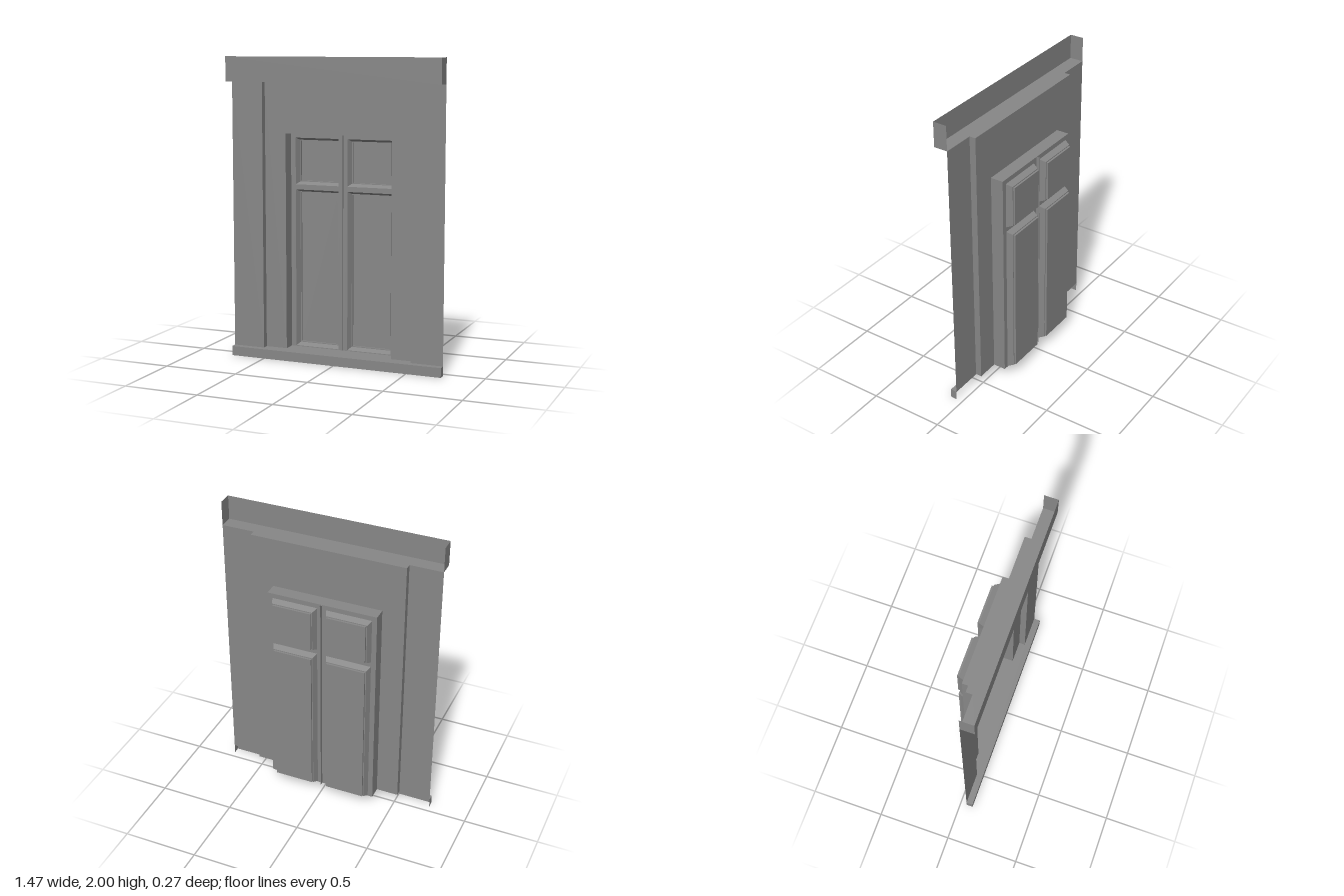
import * as THREE from 'three';

const material = new THREE.MeshStandardMaterial({ color: 0x878787, side: THREE.DoubleSide, flatShading: true });

// Key widths, heights and depths
const W = 0.735, BAY = 0.518, DOOR = 0.37, GAP = 0.002;
const SILL = 0.063, HEAD = 1.836, TOP = 2, DOOR_TOP = 1.5;
const Z_HEAD = 0.136, Z_SILL = 0.088, Z_WING = 0.044, Z_BAY = 0.002, Z_FRAME = -0.084;

function add(group, name, geometry) {
  const mesh = new THREE.Mesh(geometry, material);
  mesh.name = name;
  group.add(mesh);
}

// Joins point rows [[x, y, z], ...] of equal length with quads
function loft(rows) {
  const n = rows[0].length, index = [];
  for (let r = 0; r < rows.length - 1; r++) {
    for (let i = 0; i < n - 1; i++) {
      const a = r * n + i, b = a + n;
      index.push(a, a + 1, b, a + 1, b + 1, b);
    }
  }
  const g = new THREE.BufferGeometry();
  g.setAttribute('position', new THREE.Float32BufferAttribute(rows.flat(2), 3));
  g.setIndex(index);
  const flat = g.toNonIndexed();
  flat.computeVertexNormals();
  return flat;
}

// Upright sheet that follows a plan line of [x, z] points
const sheet = (plan, y0, y1) => loft([y0, y1].map(y => plan.map(([x, z]) => [x, y, z])));

// Horizontal sheet filling a plan outline
function floor(plan, y) {
  const shape = new THREE.Shape(plan.map(([x, z]) => new THREE.Vector2(x, z)));
  return new THREE.ShapeGeometry(shape).rotateX(Math.PI / 2).translate(0, y, 0);
}

const corners = (x0, x1, y0, y1) => [[x0, y0], [x1, y0], [x1, y1], [x0, y1]];

// Upright sheet with rectangular openings
function face(outer, holes, z) {
  const points = c => c.map(([x, y]) => new THREE.Vector2(x, y));
  const shape = new THREE.Shape(points(outer));
  holes.forEach(h => shape.holes.push(new THREE.Path(points(h))));
  return new THREE.ShapeGeometry(shape).translate(0, 0, z);
}

// Mirrors a half plan line across x = 0
const mirrored = half => [...half, ...half.slice().reverse().map(([x, z]) => [-x, z])];

// Sunken panel: sloped moulding, narrow ledge, straight step and flat pane
function createPanel([x0, x1, y0, y1]) {
  const panel = new THREE.Group();
  panel.name = 'doorPanel';
  const inset = d => corners(x0 + d, x1 - d, y0 + d, y1 - d);
  const steps = [[0, Z_FRAME], [0.016, -0.123], [0.022, -0.123], [0.022, -0.136]];
  add(panel, 'panelMoulding', loft(steps.map(([d, z]) => {
    const c = inset(d);
    return [...c, c[0]].map(([x, y]) => [x, y, z]);
  })));
  add(panel, 'panelFace', face(inset(0.022), [], -0.136));
  return panel;
}

export function createModel() {
  const model = new THREE.Group();
  model.name = 'doorWall';

  for (const s of [-1, 1]) {
    const side = s > 0 ? 'left' : 'right';

    // Side wing and its short return
    add(model, side + 'Wing',
      sheet([[s * W, Z_WING], [s * BAY, Z_WING], [s * BAY, Z_BAY]], SILL, HEAD));

    // Door leaf with a tall lower panel and a small upper one
    const [x0, x1] = s > 0 ? [0.031, 0.337] : [-0.337, -0.031];
    const openings = [[x0, x1, 0.068, 1.125], [x0, x1, 1.159, 1.468]];
    const leaf = s > 0 ? [GAP, DOOR] : [-DOOR, -GAP];
    add(model, side + 'DoorFrame',
      face(corners(...leaf, SILL, DOOR_TOP), openings.map(o => corners(...o)), Z_FRAME));
    openings.forEach(o => model.add(createPanel(o)));
  }

  // Narrow groove between the two leaves
  add(model, 'centreGroove', sheet(mirrored([[-GAP, Z_FRAME], [-GAP, -0.108]]), SILL, DOOR_TOP));

  // Recessed bay wall around the doorway
  add(model, 'bayWall', face([
    [-BAY, SILL], [-DOOR, SILL], [-DOOR, DOOR_TOP], [DOOR, DOOR_TOP],
    [DOOR, SILL], [BAY, SILL], [BAY, HEAD], [-BAY, HEAD]], [], Z_BAY));

  // Jambs and top of the door recess
  const arch = [[-DOOR, SILL], [-DOOR, DOOR_TOP], [DOOR, DOOR_TOP], [DOOR, SILL]];
  add(model, 'doorReveal', loft([Z_BAY, Z_FRAME].map(z => arch.map(([x, y]) => [x, y, z]))));

  // Header beam, open at the top
  add(model, 'headerFace', sheet(mirrored([[-W, Z_WING], [-W, Z_HEAD]]), HEAD, TOP));
  add(model, 'headerSoffit', floor(
    mirrored([[-W, Z_HEAD], [-W, Z_WING], [-BAY, Z_WING], [-BAY, Z_BAY]]), HEAD));

  // Sill, open below, running back into the doorway
  add(model, 'sillFace', sheet(mirrored([[-W, Z_WING], [-W, Z_SILL]]), 0, SILL));
  add(model, 'sillTop', floor(mirrored([
    [-W, Z_SILL], [-W, Z_WING], [-BAY, Z_WING], [-BAY, Z_BAY], [-DOOR, Z_BAY], [-DOOR, Z_FRAME]]), SILL));

  return model;
}
